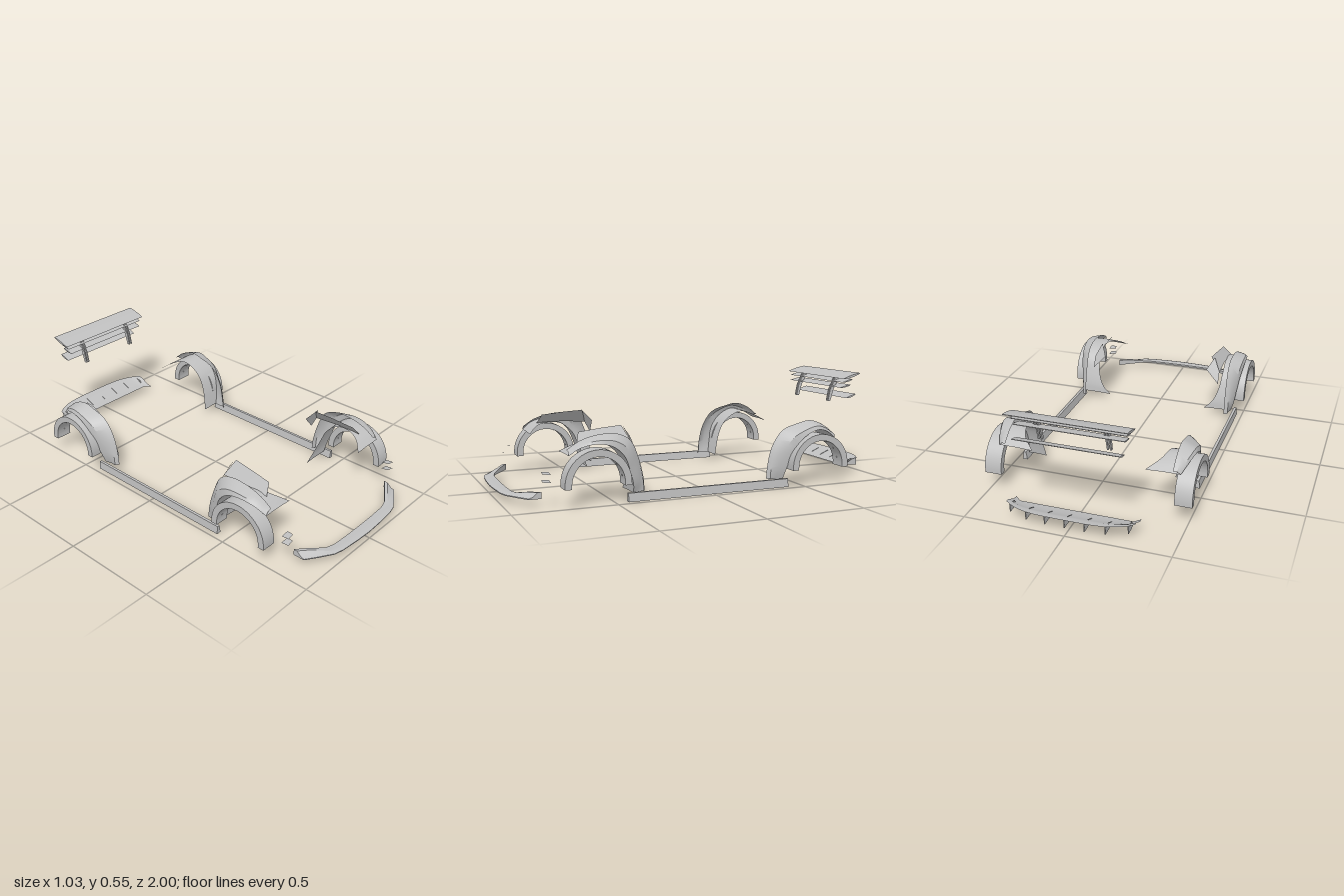
import * as THREE from 'three';
import { toCreasedNormals } from 'three/addons/utils/BufferGeometryUtils.js';

const grey = new THREE.MeshStandardMaterial({ color: 0xc0c0c0, side: THREE.DoubleSide });
grey.name = 'primer grey';

function add(parent, name, geometry) {
  const mesh = new THREE.Mesh(geometry, grey);
  mesh.name = name;
  parent.add(mesh);
  return mesh;
}

// Grid surface through rows of [x, y, z] points, smoothed along the rows.
function loft(rows, samples = 0) {
  if (samples) {
    const curves = rows[0].map((_, j) => new THREE.CatmullRomCurve3(rows.map(r => new THREE.Vector3(...r[j]))));
    rows = Array.from({ length: samples + 1 }, (_, i) => curves.map(c => c.getPoint(i / samples).toArray()));
  }
  const n = rows[0].length, index = [];
  for (let i = 0; i < rows.length - 1; i++) {
    for (let j = 0; j < n - 1; j++) {
      const a = i * n + j, b = a + n;
      index.push(a, b, a + 1, b, b + 1, a + 1);
    }
  }
  const g = new THREE.BufferGeometry();
  g.setAttribute('position', new THREE.Float32BufferAttribute(rows.flat(2), 3));
  g.setIndex(index);
  g.computeVertexNormals();
  return toCreasedNormals(g, 0.6);
}

// Extrudes a (z, y) outline sideways from x = xOuter inwards.
function extrudeSide(shape, xOuter, width) {
  const g = new THREE.ExtrudeGeometry(shape, { depth: width, bevelEnabled: false, curveSegments: 24 });
  g.rotateY(-Math.PI / 2).translate(xOuter, 0, 0);
  return toCreasedNormals(g, 0.5);
}

const outline = pts => new THREE.Shape(pts.map(p => new THREE.Vector2(...p)));

// Mirrored copy across x = 0 with the corner order corrected.
function mirrored(geometry) {
  const g = geometry.index ? geometry.toNonIndexed() : geometry.clone();
  g.scale(-1, 1, 1);
  for (const a of [g.attributes.position, g.attributes.normal]) {
    for (let i = 0; i < a.count; i += 3) {
      const p = [a.getX(i), a.getY(i), a.getZ(i)];
      a.setXYZ(i, a.getX(i + 1), a.getY(i + 1), a.getZ(i + 1));
      a.setXYZ(i + 1, ...p);
    }
  }
  return g;
}

function addPair(parent, name, geometry) {
  add(parent, name + 'Left', geometry);
  add(parent, name + 'Right', mirrored(geometry));
}

// Horseshoe wheel arch flare with bolt heads inside
function addFlare(parent, name, zc, xOuter) {
  const R = 0.16, r = 0.127, yc = 0.105, y0 = 0.09;
  const s = new THREE.Shape();
  s.moveTo(zc + R, y0);
  s.lineTo(zc + R, yc);
  s.absarc(zc, yc, R, 0, Math.PI, false);
  s.lineTo(zc - R, y0);
  s.lineTo(zc - r, y0);
  s.lineTo(zc - r, yc);
  s.absarc(zc, yc, r, Math.PI, 0, true);
  s.lineTo(zc + r, y0);
  addPair(parent, name, extrudeSide(s, xOuter, xOuter - 0.432));
  for (let i = 0; i < 7; i++) {
    const a = Math.PI * (i + 0.5) / 7;
    const bolt = new THREE.CylinderGeometry(0.005, 0.005, 0.004, 8);
    bolt.rotateX(Math.PI / 2 - a).translate(0.47, yc + r * Math.sin(a), zc + r * Math.cos(a));
    addPair(parent, name + 'Bolt' + i, bolt);
  }
}

// Fender skin and inner liner. Station: [lipZ, lipY, crestZ, crestY, linerX, lipX]
function addFender(parent, name, stations) {
  addPair(parent, name + 'Skin', loft(stations.map(([lz, ly, cz, cy, , lx]) => [
    [lx, ly, lz],
    [lx - 0.008, ly + (cy - ly) * 0.45, lz + (cz - lz) * 0.45],
    [0.435, ly + (cy - ly) * 0.85, lz + (cz - lz) * 0.85],
    [0.415, cy, cz],
  ]), 28));
  addPair(parent, name + 'Liner', loft(stations.map(([lz, ly, , , xi, lx]) => [
    [xi, ly - 0.004, lz],
    [(xi + lx) / 2, ly, lz],
    [lx, ly, lz],
  ]), 28));
}

// Curved wing blade between a low front edge and a high rear edge
function blade(halfWidth, z0, y0, z1, y1, thick) {
  const zm = (z0 + z1) / 2, ym = (y0 + y1) / 2 - 0.004;
  const s = new THREE.Shape();
  s.moveTo(z0, y0);
  s.quadraticCurveTo(zm, ym + thick, z1, y1);
  s.lineTo(z1, y1 - 0.003);
  s.quadraticCurveTo(zm, ym - thick, z0, y0);
  return extrudeSide(s, halfWidth, halfWidth * 2);
}

export function createModel() {
  const model = new THREE.Group();
  model.name = 'bodyKit';

  // Side skirts
  const skirt = new THREE.ExtrudeGeometry(
    outline([[0.447, 0], [0.472, 0], [0.468, 0.042], [0.454, 0.042]]), { depth: 0.857, bevelEnabled: false });
  skirt.translate(0, 0, -0.417);
  addPair(model, 'sideSkirt', skirt);

  // Wheel arch flares
  addFlare(model, 'frontFlare', 0.596, 0.507);
  addFlare(model, 'rearFlare', -0.578, 0.517);

  // Fenders
  addFender(model, 'frontFender', [
    [0.72, 0.235, 0.72, 0.258, 0.28, 0.45],
    [0.67, 0.27, 0.66, 0.295, 0.33, 0.47],
    [0.60, 0.285, 0.58, 0.318, 0.36, 0.482],
    [0.52, 0.27, 0.48, 0.32, 0.37, 0.482],
    [0.46, 0.22, 0.41, 0.285, 0.37, 0.475],
    [0.43, 0.15, 0.37, 0.2, 0.36, 0.465],
    [0.41, 0.08, 0.345, 0.1, 0.33, 0.455],
    [0.405, 0.035, 0.34, 0.04, 0.285, 0.44],
  ]);
  addFender(model, 'rearFender', [
    [-0.40, 0.035, -0.32, 0.04, 0.345, 0.44],
    [-0.41, 0.08, -0.325, 0.1, 0.35, 0.455],
    [-0.43, 0.15, -0.35, 0.2, 0.36, 0.47],
    [-0.465, 0.22, -0.41, 0.282, 0.365, 0.485],
    [-0.52, 0.265, -0.5, 0.313, 0.365, 0.49],
    [-0.58, 0.285, -0.57, 0.325, 0.36, 0.49],
    [-0.64, 0.27, -0.645, 0.3, 0.34, 0.475],
    [-0.70, 0.232, -0.71, 0.25, 0.28, 0.45],
  ]);

  // Upright inner panels of the front fenders
  addPair(model, 'innerPanel', loft([
    [[0.375, 0.275, 0.66], [0.335, 0.325, 0.64]],
    [[0.37, 0.28, 0.52], [0.325, 0.337, 0.52]],
    [[0.37, 0.27, 0.39], [0.315, 0.343, 0.42]],
  ]));
  addPair(model, 'innerPanelGusset', loft([
    [[0.37, 0.21, 0.36], [0.37, 0.27, 0.39]],
    [[0.30, 0.285, 0.37], [0.335, 0.343, 0.42]],
  ]));

  // Small corner canards
  for (const y of [0.115, 0.152]) {
    addPair(model, 'canard', loft([
      [[0.432, y, 0.80], [0.432, y + 0.004, 0.84]],
      [[0.39, y + 0.006, 0.80], [0.395, y + 0.008, 0.835]],
    ]));
  }

  // Front lip: [x, back z, front z, back height], closed section with end caps
  const half = [[0.378, 0.832, 0.892, 0.064], [0.32, 0.872, 0.93, 0.058], [0.25, 0.918, 0.972, 0.044],
    [0.2, 0.932, 0.984, 0.042], [0.1, 0.936, 0.992, 0.042]];
  const lip = [...half, [0, 0.937, 0.996, 0.042], ...half.map(([x, ...r]) => [-x, ...r]).reverse()];
  const lipRows = lip.map(([x, zb, zf, yb]) => [
    [x, 0.032, zb], [x, yb, zb], [x, yb - 0.001, zb + 0.018], [x, 0.042, zf - 0.018],
    [x, 0.037, zf], [x, 0.032, zf], [x, 0.032, zb]]);
  const cap = row => row.map(p => [p[0], 0.038, (row[0][2] + row[4][2]) / 2]);
  add(model, 'frontLip', loft([cap(lipRows[0]), ...lipRows, cap(lipRows.at(-1))]));

  // Rear diffuser sheet and fins
  const rearEdge = x => -1 + 0.065 * (Math.abs(x) / 0.31) ** 4;
  const rows = [];
  for (let i = 0; i <= 20; i++) {
    const x = -0.31 + 0.031 * i;
    const z0 = Math.abs(x) > 0.285 ? -0.83 : -0.86, z1 = rearEdge(x);
    rows.push([[0, 0.048], [0.35, 0.056], [0.65, 0.074], [0.8, 0.082], [1, 0.084]]
      .map(([t, y]) => [x, y, z0 + (z1 - z0) * t]));
  }
  add(model, 'diffuser', loft(rows));
  for (let i = -3; i <= 3; i++) {
    const x = i * 0.095, z = rearEdge(x);
    add(model, 'diffuserFin', extrudeSide(
      outline([[-0.89, 0.05], [z + 0.05, 0.076], [z, 0.083], [z + 0.002, 0.042], [-0.91, 0.044]]), x + 0.002, 0.004));
  }

  // Rear wing: four stacked blades
  const wing = new THREE.Group();
  wing.name = 'rearWing';
  model.add(wing);
  add(wing, 'mainBlade', blade(0.287, -0.856, 0.516, -0.962, 0.545, 0.012));
  add(wing, 'secondBlade', blade(0.27, -0.862, 0.495, -0.925, 0.512, 0.007));
  add(wing, 'thirdBlade', blade(0.26, -0.855, 0.466, -0.92, 0.481, 0.007));
  add(wing, 'lowerBlade', blade(0.253, -0.9, 0.407, -0.96, 0.428, 0.008));

  // Wing struts
  for (const x of [0.157, 0.172]) {
    addPair(wing, 'wingStrut', extrudeSide(
      outline([[-0.835, 0.387], [-0.848, 0.45], [-0.88, 0.515], [-0.905, 0.518], [-0.868, 0.45], [-0.85, 0.387]]),
      x + 0.0035, 0.007));
  }
  return model;
}
